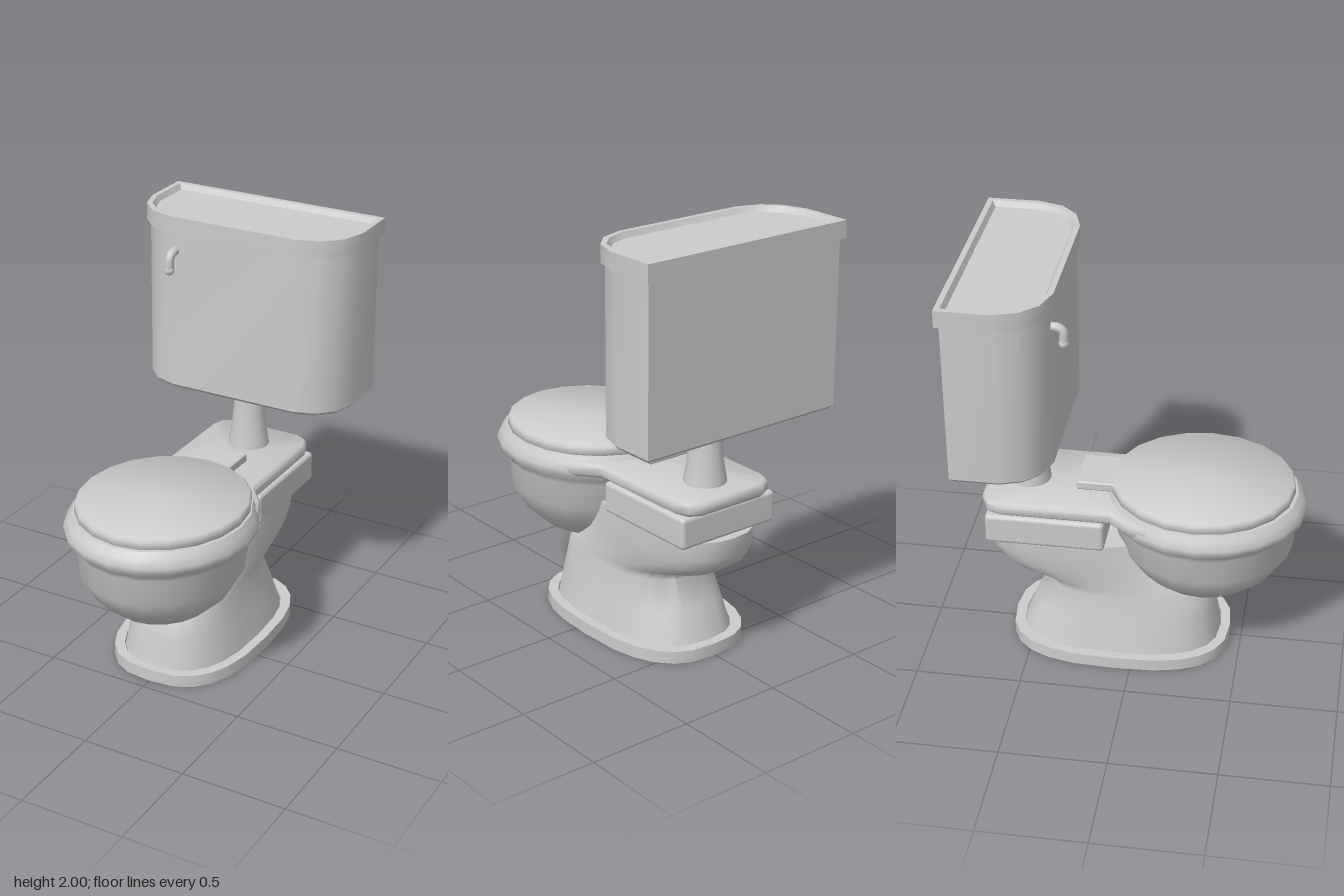
import * as THREE from 'three';
import { toCreasedNormals } from 'three/addons/utils/BufferGeometryUtils.js';
import { RoundedBoxGeometry } from 'three/addons/geometries/RoundedBoxGeometry.js';

const material = new THREE.MeshStandardMaterial({ color: 0xcccccc });
const openMaterial = new THREE.MeshStandardMaterial({ color: 0xcccccc, side: THREE.DoubleSide });

// Skins a stack of [y, outline] rings; outlines run from +x towards +z
function loft(rings, { bottom = true, top = true, crease = 0.6 } = {}) {
  const pos = [];
  const tri = (...pts) => pts.forEach(p => pos.push(p.x, p.y, p.z));
  const loops = rings.map(([y, pts]) => pts.map(([x, z]) => new THREE.Vector3(x, y, z)));
  const n = loops[0].length;
  const centre = loop => loop.reduce((s, p) => s.add(p), new THREE.Vector3()).divideScalar(n);
  for (let k = 0; k < loops.length - 1; k++) {
    const a = loops[k], b = loops[k + 1];
    for (let i = 0; i < n; i++) {
      const j = (i + 1) % n;
      tri(a[i], b[i], a[j]);
      tri(a[j], b[i], b[j]);
    }
  }
  const first = loops[0], last = loops[loops.length - 1];
  for (let i = 0; i < n; i++) {
    const j = (i + 1) % n;
    if (bottom) tri(centre(first), first[i], first[j]);
    if (top) tri(centre(last), last[j], last[i]);
  }
  const g = new THREE.BufferGeometry();
  g.setAttribute('position', new THREE.Float32BufferAttribute(pos, 3));
  return toCreasedNormals(g, crease);
}

// Superellipse outline between a back and a front z
function oval(w, zBack, zFront, power = 2, n = 20) {
  const c = (zBack + zFront) / 2, r = (zFront - zBack) / 2;
  const bend = v => Math.sign(v) * Math.pow(Math.abs(v), 2 / power);
  return Array.from({ length: n }, (_, i) => {
    const t = (i / n) * Math.PI * 2;
    return [w * bend(Math.cos(t)), c + r * bend(Math.sin(t))];
  });
}

// Mirrors a half outline given from back to front on the +x side
const mirrored = half => [...half, ...half.slice().reverse().map(([x, z]) => [-x, z])];

// Flat back with rounded front corners, shrunk by an inset
const tankOutline = inset => mirrored([
  [0.55 - inset, -0.79 + inset], [0.55 - inset, -0.55], [0.515 - inset, -0.435 - inset * 0.4],
  [0.44 - inset * 0.7, -0.358 - inset * 0.8], [0.325, -0.32 - inset],
]);

// Narrow shelf behind the bowl, flaring into the rim
const deckOutline = inset => mirrored([
  [0.17, -0.715 + inset], [0.235 - inset * 0.6, -0.68 + inset * 0.6], [0.26 - inset, -0.61],
  [0.26 - inset, -0.1], [0.34 - inset, 0], [0.37 - inset, 0.08],
]);

export function createModel() {
  const model = new THREE.Group();
  const add = (name, geometry, mat = material) => {
    const mesh = new THREE.Mesh(geometry, mat);
    mesh.name = name;
    model.add(mesh);
    return mesh;
  };

  // Foot: a flat ring open in the middle
  const footOuter = oval(0.34, -0.61, 0.445, 2.7, 24);
  const footInner = oval(0.295, -0.56, 0.4, 2.7, 24);
  add('foot', loft([[0.06, footInner], [0, footInner], [0, footOuter], [0.06, footOuter], [0.06, footInner]],
    { bottom: false, top: false }));

  // Hollow pedestal, swelling backwards under the shelf
  const pedestal = [
    [0.05, 0.295, -0.56, 0.4], [0.2, 0.265, -0.5, 0.37], [0.34, 0.24, -0.43, 0.34],
    [0.375, 0.238, -0.445, 0.3], [0.43, 0.24, -0.62, 0.25], [0.48, 0.245, -0.69, 0.2],
    [0.54, 0.25, -0.72, 0.15], [0.63, 0.25, -0.725, 0.1],
  ];
  add('pedestal', loft(pedestal.map(([y, w, b, f]) => [y, oval(w, b, f, 2.6, 24)]),
    { bottom: false, crease: 0.9 }), openMaterial);

  // Bowl with its rolled rim: y, half width, back z, front z
  const bowl = [
    [0.335, 0.13, 0.17, 0.44], [0.39, 0.235, 0.06, 0.57], [0.47, 0.32, -0.02, 0.66],
    [0.58, 0.38, -0.09, 0.73], [0.71, 0.395, -0.12, 0.738], [0.735, 0.405, -0.13, 0.75],
    [0.77, 0.437, -0.16, 0.785], [0.8, 0.44, -0.16, 0.79], [0.835, 0.42, -0.145, 0.77],
    [0.862, 0.405, -0.13, 0.745],
  ];
  add('bowl', loft(bowl.map(([y, w, b, f]) => [y, oval(w, b, f)]), { crease: 0.8 }));

  // Shelf and the block beneath it
  add('rearDeck', loft([[0.775, deckOutline(0.015)], [0.79, deckOutline(0)],
    [0.825, deckOutline(0)], [0.84, deckOutline(0.015)]], { crease: 0.9 }));
  add('deckSupport', new RoundedBoxGeometry(0.54, 0.15, 0.56, 2, 0.02)).position.set(0, 0.702, -0.41);

  // Seat lid with its hinge tab
  add('seatLid', loft([[0.855, oval(0.385, -0.12, 0.72)], [0.866, oval(0.395, -0.13, 0.73)],
    [0.9, oval(0.395, -0.13, 0.73)], [0.91, oval(0.385, -0.12, 0.72)]], { crease: 0.9 }));
  add('hingeTab', new RoundedBoxGeometry(0.24, 0.045, 0.24, 2, 0.01)).position.set(0, 0.887, -0.16);

  // Flared pipe from the shelf up to the tank
  const pipe = [[0.1, 0.83], [0.097, 0.86], [0.086, 0.92], [0.077, 1.02], [0.068, 1.14]];
  add('flushPipe', new THREE.LatheGeometry(pipe.map(p => new THREE.Vector2(...p)), 16), openMaterial)
    .position.z = -0.52;

  // Tank with a bevelled bottom edge
  add('tank', loft([[1.13, tankOutline(0.035)], [1.147, tankOutline(0.018)], [1.93, tankOutline(0.018)]]));

  // Tank lid with a shallow recessed top
  add('tankLid', loft([[1.92, tankOutline(0)], [2, tankOutline(0)], [2, tankOutline(0.025)],
    [1.975, tankOutline(0.04)]], { crease: 0.5 }));

  // Flush handle: a short arm bending down to a rounded tip
  const arm = new THREE.CatmullRomCurve3([
    [-0.345, 1.828], [-0.31, 1.826], [-0.288, 1.81], [-0.283, 1.78], [-0.284, 1.75],
  ].map(([z, y]) => new THREE.Vector3(-0.305, y, z)));
  add('flushHandle', new THREE.TubeGeometry(arm, 12, 0.021, 10));
  const tip = add('handleTip', new THREE.SphereGeometry(0.024, 12, 8));
  tip.position.set(-0.305, 1.75, -0.284);

  return model;
}
